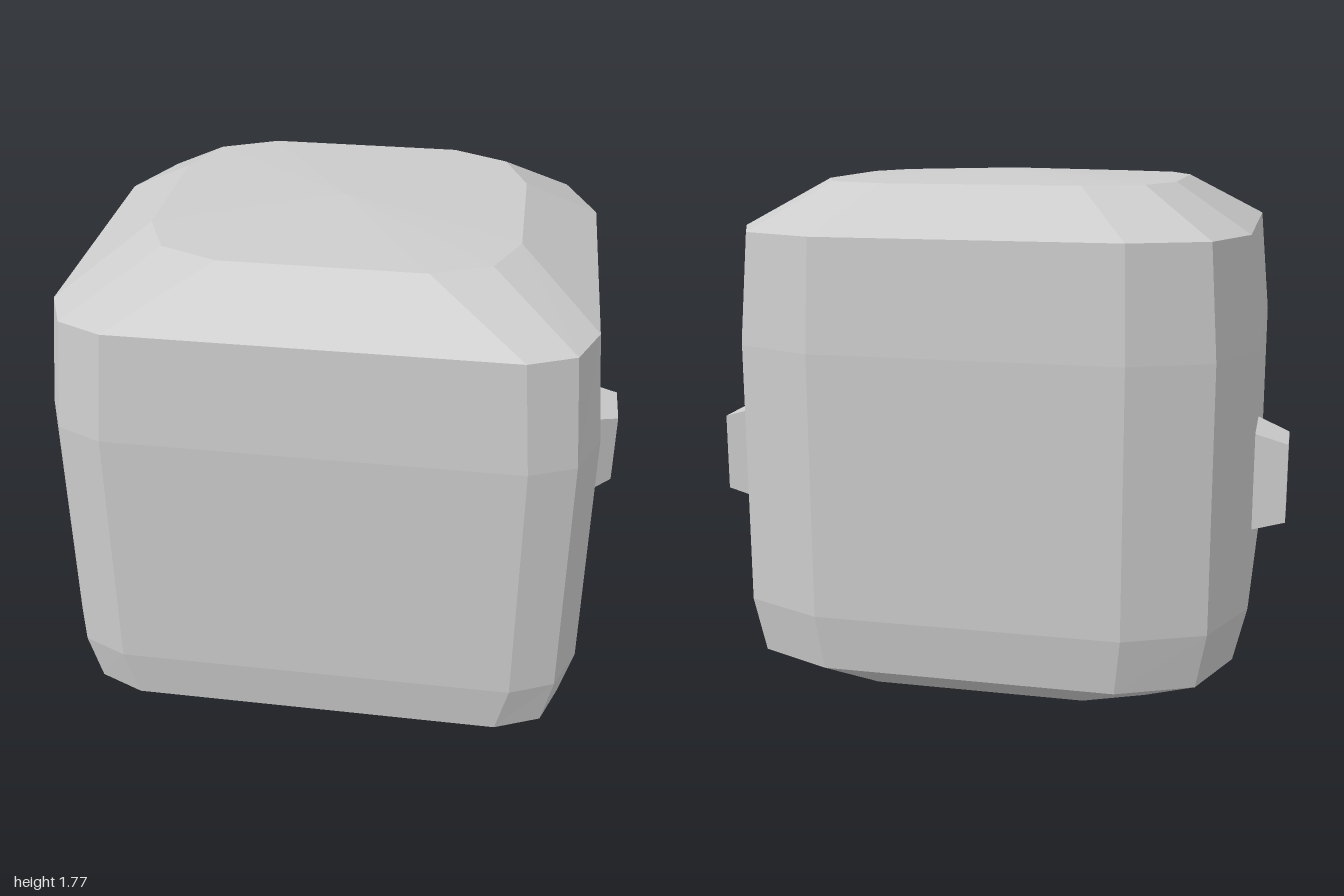
import * as THREE from 'three';

const grey = new THREE.MeshStandardMaterial({ color: 0xcccccc });
grey.name = 'light grey';

// Half outlines (+x side, front to back) of each level, bottom to top: [y, [x, z] * 6]
const wide = [[0.67, 0.775], [0.82, 0.71], [0.89, 0.55], [0.89, -0.4], [0.775, -0.665], [0.51, -0.78]];
const levels = [
  [0.03, [[0.4, 0.58], [0.57, 0.5], [0.645, 0.33], [0.645, -0.29], [0.56, -0.49], [0.36, -0.58]]],
  [0.145, [[0.63, 0.75], [0.785, 0.685], [0.845, 0.53], [0.845, -0.39], [0.74, -0.645], [0.49, -0.755]]],
  [0.335, wide],
  [1.22, wide],
  [1.59, [[0.64, 0.75], [0.79, 0.685], [0.855, 0.53], [0.855, -0.4], [0.75, -0.65], [0.5, -0.76]]],
  [1.745, [[0.33, 0.51], [0.52, 0.43], [0.6, 0.25], [0.6, -0.25], [0.52, -0.45], [0.33, -0.54]]],
];

// Mirror a half outline into a closed ring of points
function ring([y, half]) {
  const right = half.map(([x, z]) => [x, y, z]);
  const left = half.map(([x, z]) => [-x, y, z]).reverse();
  return [...right, ...left];
}

// Loft the rings and close both ends with shallow fans; unshared corners keep it faceted
function headGeometry() {
  const rings = levels.map(ring);
  const n = rings[0].length;
  const top = [0, 1.775, 0], bottom = [0, 0, 0];
  const tris = [];
  for (let i = 0; i < n; i++) {
    const j = (i + 1) % n;
    for (let k = 0; k + 1 < rings.length; k++) {
      const a = rings[k], b = rings[k + 1];
      tris.push(a[i], a[j], b[j], a[i], b[j], b[i]);
    }
    tris.push(top, rings.at(-1)[i], rings.at(-1)[j]);
    tris.push(bottom, rings[0][j], rings[0][i]);
  }
  const geometry = new THREE.BufferGeometry();
  geometry.setAttribute('position', new THREE.Float32BufferAttribute(tris.flat(), 3));
  geometry.computeVertexNormals();
  return geometry;
}

// Box narrowed at its outer face, with a straight back and sloped front, top and bottom
function earGeometry(side) {
  const geometry = new THREE.BoxGeometry(1, 1, 1).toNonIndexed();
  const p = geometry.attributes.position;
  for (let i = 0; i < p.count; i++) {
    const outer = p.getX(i) * side > 0;
    const y = 0.7575 + Math.sign(p.getY(i)) * (outer ? 0.135 : 0.167);
    const z = p.getZ(i) < 0 ? -0.325 : outer ? -0.135 : -0.057;
    p.setXYZ(i, side * (outer ? 1 : 0.888), y, z);
  }
  geometry.computeVertexNormals();
  return geometry;
}

export function createModel() {
  const model = new THREE.Group();
  model.name = 'blockHead';
  const add = (name, geometry) => {
    const mesh = new THREE.Mesh(geometry, grey);
    mesh.name = name;
    model.add(mesh);
  };
  add('head', headGeometry());
  add('leftEar', earGeometry(1));
  add('rightEar', earGeometry(-1));
  return model;
}
